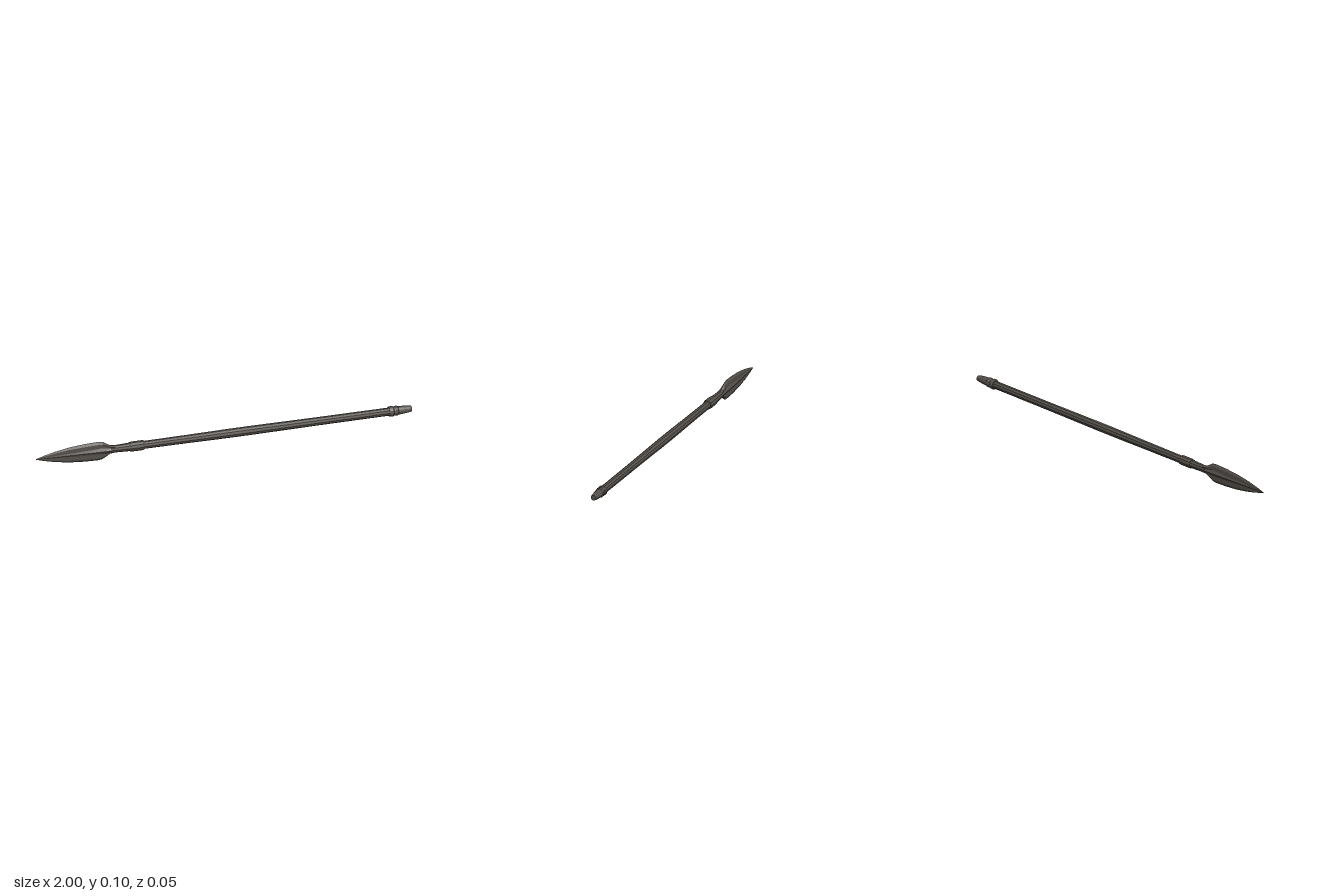
import * as THREE from 'three';

const AXIS_Y = 0.0525;

// Faceted solid of revolution along x from [x, radius] pairs
function turned(name, profile, sides, material) {
  const points = profile.map(([x, r]) => new THREE.Vector2(r, x));
  const geometry = new THREE.LatheGeometry(points, sides);
  geometry.rotateZ(-Math.PI / 2);
  const mesh = new THREE.Mesh(geometry, material);
  mesh.name = name;
  mesh.position.y = AXIS_Y;
  return mesh;
}

// Leaf blade lofted through stations [x, half height, midrib half width, wing half width]
function bladeGeometry() {
  const stations = [
    [-1, 0.001, 0.0005, 0.0003], [-0.96, 0.014, 0.003, 0.002],
    [-0.9, 0.029, 0.006, 0.004], [-0.82, 0.043, 0.0095, 0.006],
    [-0.74, 0.05, 0.013, 0.0075], [-0.665, 0.0525, 0.016, 0.008],
    [-0.645, 0.049, 0.0165, 0.008], [-0.605, 0.024, 0.0185, 0.011],
    [-0.58, 0.019, 0.019, 0.014],
  ];
  const rings = stations.map(([x, h, r, w]) => {
    const shoulder = Math.min(h * 0.45, r);
    const quarter = [[h, 0], [h * 0.72, w], [shoulder, w], [0, r]];
    const half = [...quarter, ...quarter.slice(1, 3).reverse().map(([y, z]) => [-y, z])];
    return [...half, ...half.map(([y, z]) => [-y, -z])].map(([y, z]) => [x, y, z]);
  });
  const positions = [];
  const n = rings[0].length;
  for (let i = 0; i < rings.length - 1; i++) {
    for (let j = 0; j < n; j++) {
      const k = (j + 1) % n;
      const a = rings[i][j], b = rings[i][k], c = rings[i + 1][k], d = rings[i + 1][j];
      positions.push(...a, ...b, ...d, ...b, ...c, ...d);
    }
  }
  const geometry = new THREE.BufferGeometry();
  geometry.setAttribute('position', new THREE.Float32BufferAttribute(positions, 3));
  geometry.computeVertexNormals();
  return geometry;
}

export function createModel() {
  const group = new THREE.Group();
  group.name = 'spear';
  const material = new THREE.MeshStandardMaterial({ color: 0x544f4a, flatShading: true, side: THREE.DoubleSide });
  material.name = 'dark grey-brown';

  const blade = new THREE.Mesh(bladeGeometry(), material);
  blade.name = 'blade';
  blade.position.y = AXIS_Y;
  group.add(blade);

  // Socket, widening into a collar over the shaft
  group.add(turned('socket', [
    [-0.6, 0], [-0.6, 0.0185], [-0.5, 0.022], [-0.5, 0.0245],
    [-0.485, 0.026], [-0.435, 0.026], [-0.425, 0.024], [-0.425, 0],
  ], 10, material));

  // Shaft, slightly thicker in the middle
  group.add(turned('shaft', [
    [-0.44, 0.0205], [-0.2, 0.0215], [0.02, 0.0235], [0.15, 0.0235], [0.5, 0.0215], [0.89, 0.021],
  ], 10, material));

  // Butt ring and tapered end cap
  group.add(turned('buttRing', [
    [0.88, 0], [0.88, 0.0255], [0.888, 0.0268], [0.9, 0.0268], [0.904, 0.0235],
    [0.912, 0.0235], [0.916, 0.0255], [0.924, 0.0255], [0.928, 0.022], [0.928, 0],
  ], 12, material));
  group.add(turned('buttCap', [
    [0.92, 0.0225], [0.955, 0.0205], [0.99, 0.0165], [1, 0.0145], [1, 0],
  ], 12, material));

  return group;
}
